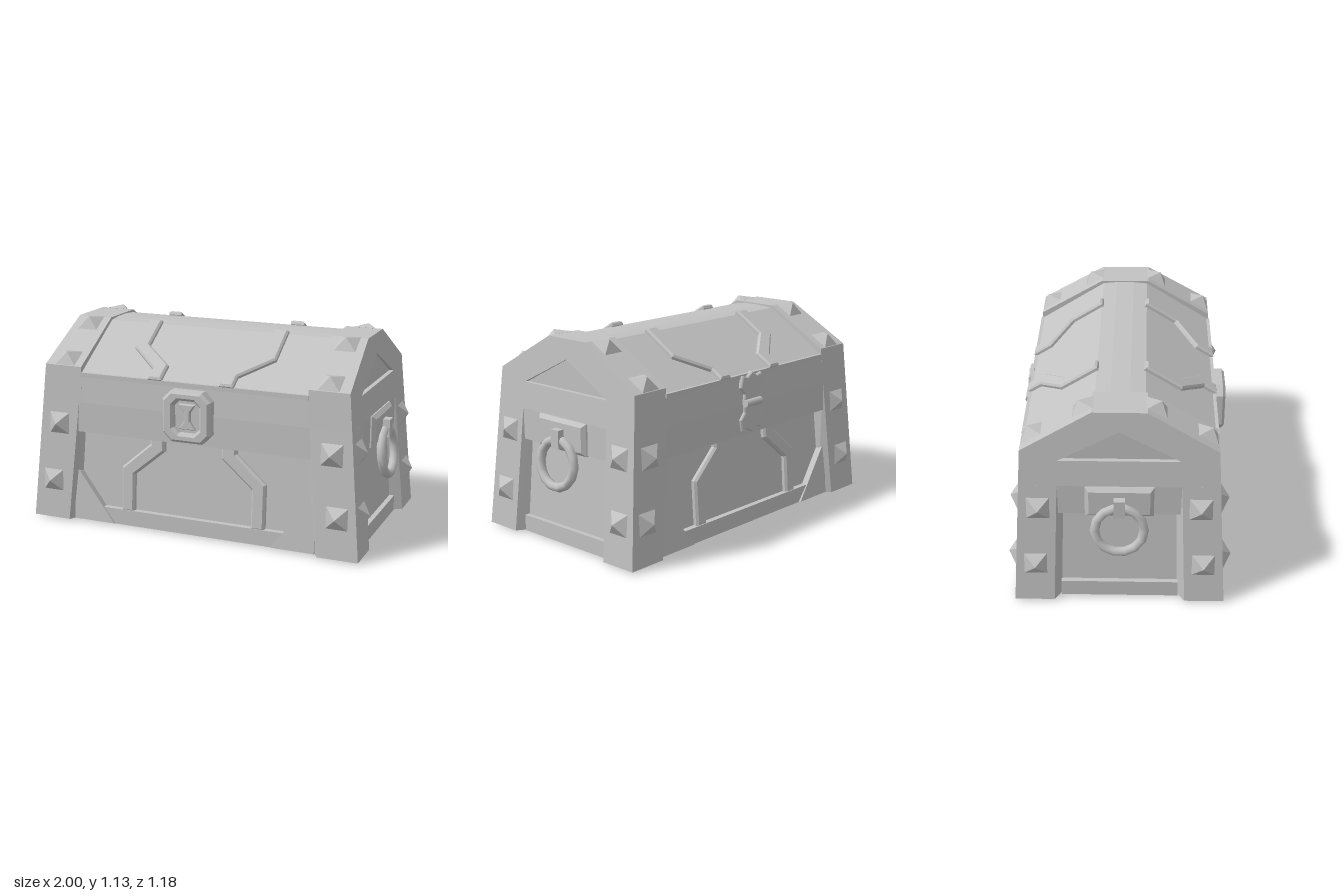
import * as THREE from 'three';

const stone = new THREE.MeshStandardMaterial({ color: 0xc2c2c2 });
stone.name = 'stone grey';

// x of the leaning end faces and z of the leaning front faces at height y
const endX = (y) => 0.97 - 0.09 * (y - 0.01);
const faceZ = (y) => 0.555 - 0.056 * (y - 0.01);
// sunken panels lean inward as well
const LEAN = 0.07;
const panelX = (y) => 0.907 - LEAN * y;
const panelZ = (y) => 0.492 - LEAN * y;

// give a geometry hard facets
function facet(geo) {
  const g = geo.index ? geo.toNonIndexed() : geo;
  g.computeVertexNormals();
  return g;
}

// mirror a faceted geometry in x and/or z, keeping the faces outward
function mirror(geo, sx, sz) {
  const g = geo.clone().scale(sx, 1, sz);
  if (sx * sz < 0) {
    const p = g.attributes.position;
    const a = new THREE.Vector3(), b = new THREE.Vector3();
    for (let i = 0; i < p.count; i += 3) {
      a.fromBufferAttribute(p, i + 1);
      b.fromBufferAttribute(p, i + 2);
      p.setXYZ(i + 1, b.x, b.y, b.z);
      p.setXYZ(i + 2, a.x, a.y, a.z);
    }
  }
  g.computeVertexNormals();
  return g;
}

function shapeOf(points) {
  return new THREE.Shape(points.map(([x, y]) => new THREE.Vector2(x, y)));
}

// raised plate in the xy plane, facing +z
function plate(shape, depth, bevel = 0) {
  return facet(new THREE.ExtrudeGeometry(shape, {
    depth: depth - bevel, bevelEnabled: bevel > 0, bevelSize: bevel,
    bevelOffset: -bevel, bevelThickness: bevel, bevelSegments: 1,
  }));
}

// convex prism between two rings [x, z] at heights y0 and y1
function post(ring0, y0, ring1, y1) {
  const n = ring0.length, pos = [], idx = [];
  ring0.forEach(([x, z]) => pos.push(x, y0, z));
  ring1.forEach(([x, z]) => pos.push(x, y1, z));
  for (let i = 0; i < n; i++) {
    const j = (i + 1) % n;
    idx.push(i, j, n + j, i, n + j, n + i);
    if (i > 0 && i < n - 1) idx.push(0, i + 1, i, n, n + i, n + i + 1);
  }
  const g = new THREE.BufferGeometry();
  g.setAttribute('position', new THREE.Float32BufferAttribute(pos, 3));
  g.setIndex(idx);
  return facet(g);
}

const rect = (x, z) => [[x, z], [x, -z], [-x, -z], [-x, z]];

function octagon(w, h, c) {
  return [[w, h - c], [w - c, h], [c - w, h], [-w, h - c],
    [-w, c - h], [c - w, -h], [w - c, -h], [w, c - h]];
}

export function createModel() {
  const chest = new THREE.Group();
  chest.name = 'chest';
  const add = (name, geo, x = 0, y = 0, z = 0) => {
    const m = new THREE.Mesh(geo, stone);
    m.name = name;
    m.position.set(x, y, z);
    chest.add(m);
    return m;
  };
  const box = (name, w, y0, y1, d, x = 0, z = 0) =>
    add(name, new THREE.BoxGeometry(w, y1 - y0, d), x, (y0 + y1) / 2, z);

  // body above a raised floor, and the overhanging band
  add('body', post(rect(panelX(0.28), panelZ(0.28)), 0.28, rect(panelX(0.54), panelZ(0.54)), 0.54));
  box('band', 1.814, 0.53, 0.7, 1.032);
  add('bandTop', post(rect(0.7, 0.516), 0.7, rect(0.7, 0.5075), 0.85));
  box('lidLip', 1.34, 0.845, 0.87, 1.026);

  // lid core running between the gables
  const lidShape = shapeOf([[-0.5, 0.84], [0.5, 0.84], [0.5, 0.867], [0.13, 1.1],
    [0.05, 1.108], [-0.05, 1.108], [-0.13, 1.1], [-0.5, 0.867]]);
  add('lid', plate(lidShape, 1.74).translate(0, 0, -0.87).rotateY(Math.PI / 2));

  // gable arches with a sunken triangle, outer face leaning inward
  const gableShape = shapeOf([[-0.516, 0.7], [0.516, 0.7], [0.505, 0.9], [0.14, 1.115],
    [-0.14, 1.115], [-0.505, 0.9]]);
  gableShape.holes.push(shapeOf([[-0.315, 0.845], [0, 1.008], [0.315, 0.845]]));
  const gable = plate(gableShape, 1).rotateY(Math.PI / 2);
  const gp = gable.attributes.position;
  for (let i = 0; i < gp.count; i++) {
    gp.setX(i, gp.getX(i) > 0.5 ? endX(gp.getY(i)) : 0.665);
  }

  // flared corner posts
  const corner = post(
    [[0.97, 0.555], [0.97, 0.345], [0.895, 0.301], [0.702, 0.484], [0.745, 0.555]], 0.01,
    [[0.908, 0.516], [0.908, 0.32], [0.855, 0.288], [0.667, 0.44], [0.68, 0.516]], 0.7);

  // pyramid stud pointing along a normal, its base on the surface
  const studGeo = facet(new THREE.ConeGeometry(0.09, 0.05, 4).rotateY(Math.PI / 4).translate(0, 0.022, 0));
  const up = new THREE.Vector3(0, 1, 0);
  const stud = (x, y, z, nx, ny, nz) => {
    const n = new THREE.Vector3(nx, ny, nz).normalize();
    add('stud', studGeo, x, y, z).quaternion.setFromUnitVectors(up, n);
  };

  // stepped trim strips for the panels and the lid slopes
  const panelStrip = plate(shapeOf([[0.35, 0.09], [0.43, 0.09], [0.43, 0.345], [0.257, 0.495],
    [0.257, 0.54], [0.17, 0.54], [0.17, 0.46], [0.35, 0.31]]), 0.035, 0.012)
    .rotateX(-LEAN).translate(0, 0, panelZ(0) - 0.005);
  const lidStrip = plate(shapeOf([[0.17, -0.01], [0.25, -0.01], [0.25, 0.07], [0.42, 0.219],
    [0.42, 0.449], [0.34, 0.449], [0.34, 0.248], [0.17, 0.106]]), 0.025, 0.01)
    .rotateX(-1.009).translate(0, 0.867, 0.5);
  const gusset = plate(shapeOf([[0.72, 0.01], [0.72, 0.31], [0.69, 0.29], [0.47, 0.01]]), 0.045)
    .rotateX(-LEAN).translate(0, 0, panelZ(0) - 0.006);

  for (const sx of [1, -1]) {
    add('gable', mirror(gable, sx, 1));
    box('sideRail', 0.045, 0.01, 0.1, 0.62, sx * 0.905);
    box('sideSkirt', 0.02, 0.08, 0.3, 0.7, sx * (panelX(0.19) - 0.01)).rotation.z = sx * LEAN;

    // ring handle on its bevelled plate
    const side = new THREE.Group();
    side.name = 'handle';
    side.rotation.y = sx * Math.PI / 2;
    chest.add(side);
    const put = (name, geo, x, y, z) => {
      const m = new THREE.Mesh(geo, stone);
      m.name = name;
      m.position.set(x, y, z);
      side.add(m);
      return m;
    };
    put('handlePlate', plate(shapeOf([[-0.178, 0.525], [0.178, 0.525], [0.178, 0.7], [-0.178, 0.7]]),
      0.035, 0.02), 0, 0, 0.9);
    put('handleClip', new THREE.BoxGeometry(0.058, 0.1, 0.07), 0, 0.6, 0.94);
    put('handleRing', new THREE.TorusGeometry(0.128, 0.025, 8, 14), 0, 0.465, 0.96).rotation.x = -0.12;

    for (const sz of [1, -1]) {
      add('cornerPost', mirror(corner, sx, sz));
      box('foot', 0.1, 0, 0.03, 0.04, sx * 0.86, sz * 0.45);
      add('panelStrip', mirror(panelStrip, sx, sz));
      add('lidStrip', mirror(lidStrip, sx, sz));
      add('gusset', mirror(gusset, sx, sz));
      // studs: two on the front, two on the end, two on the arch
      stud(sx * 0.805, 0.57, sz * faceZ(0.57), 0, 0.056, sz);
      stud(sx * 0.845, 0.235, sz * faceZ(0.235), 0, 0.056, sz);
      stud(sx * endX(0.57), 0.57, sz * 0.42, sx, 0.09, 0);
      stud(sx * endX(0.235), 0.235, sz * 0.44, sx, 0.09, 0);
      stud(sx * 0.77, 1.086, sz * 0.188, 0, 0.862, sz * 0.508);
      stud(sx * 0.77, 0.932, sz * 0.45, 0, 0.862, sz * 0.508);
    }
  }
  for (const sz of [1, -1]) {
    box('bottomRail', 1.46, 0.01, 0.1, 0.045, 0, sz * 0.495);
    box('skirt', 1.5, 0.08, 0.3, 0.02, 0, sz * (panelZ(0.19) - 0.01)).rotation.x = -sz * LEAN;
  }

  // front clasp: octagonal frame, sunken plate and waisted keyhole relief
  const frame = shapeOf(octagon(0.14, 0.142, 0.05));
  frame.holes.push(shapeOf(octagon(0.075, 0.09, 0.03)));
  add('claspFrame', plate(frame, 0.07, 0.015), 0, 0.695, 0.505);
  add('claspPlate', plate(shapeOf(octagon(0.11, 0.12, 0.04)), 0.035), 0, 0.695, 0.505);
  add('keyholeRelief', plate(shapeOf([[-0.048, -0.07], [0.048, -0.07], [0.018, -0.025], [0.018, 0.025],
    [0.048, 0.07], [-0.048, 0.07], [-0.018, 0.025], [-0.018, -0.025]]), 0.02, 0.006), 0, 0.695, 0.54);

  // back hinge: two pointed leaves around a barrel
  const half = [[0.065, 0.01], [0.06, 0.05], [0.095, 0.09], [0.08, 0.155], [0.04, 0.145]];
  const leaf = plate(shapeOf([...half, [0, 0.17],
    ...half.slice().reverse().map(([x, y]) => [-x, y])]), 0.025, 0.006);
  add('hingeLeafUpper', leaf, 0, 0.71, -0.505).rotation.y = Math.PI;
  add('hingeLeafLower', leaf, 0, 0.71, -0.507).rotation.x = Math.PI;
  add('hingeBarrel', new THREE.CylinderGeometry(0.021, 0.021, 0.13, 10).rotateZ(Math.PI / 2), 0, 0.71, -0.533);

  return chest;
}
